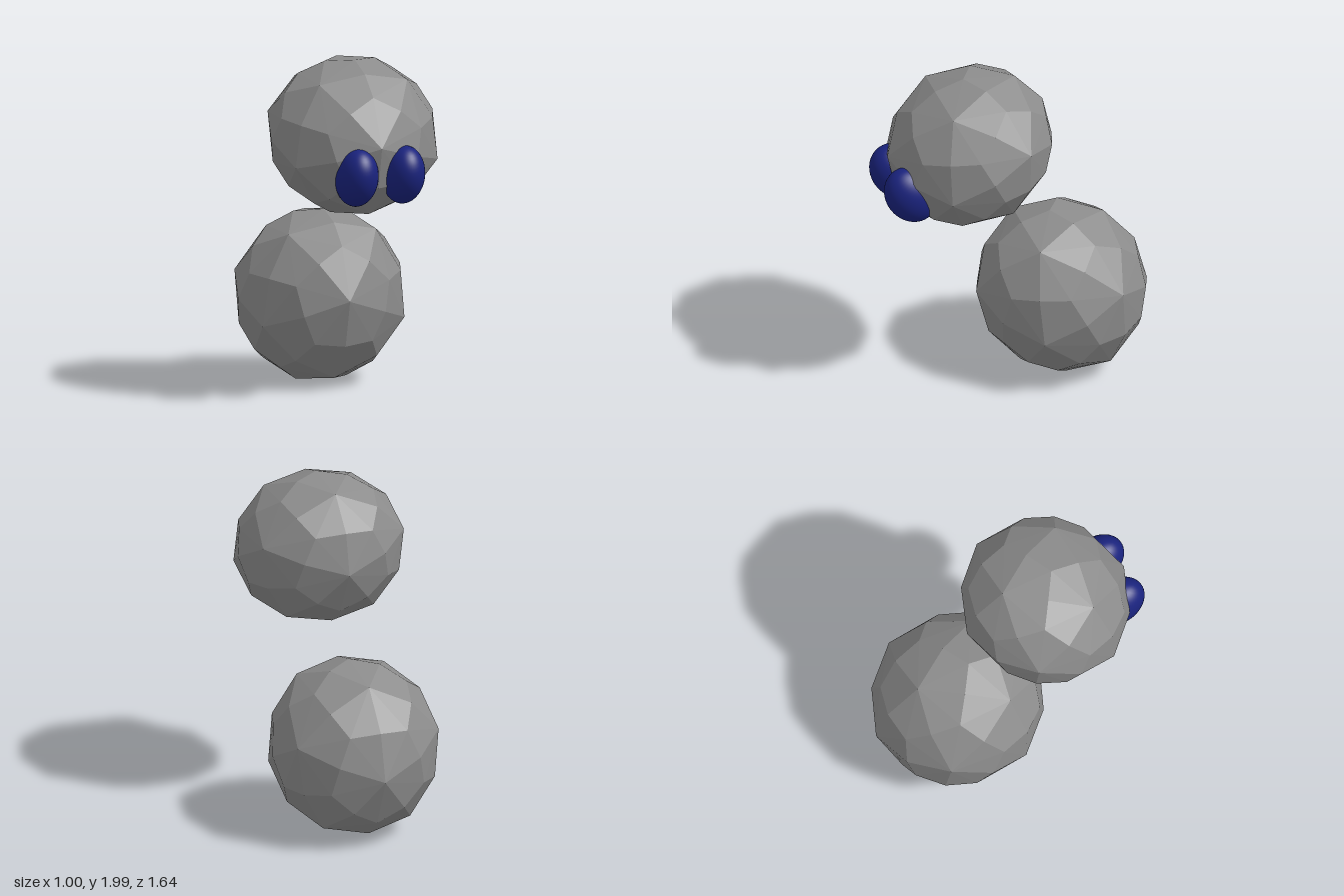
import * as THREE from 'three';
import { ConvexGeometry } from 'three/addons/geometries/ConvexGeometry.js';

const BALL_TILT = THREE.MathUtils.degToRad(28);
const EYE_TILT = THREE.MathUtils.degToRad(32);

// Faceted ball with 60 kite faces: icosahedron corners, edge middles and face centres
function kiteBallGeometry() {
  const phi = (1 + Math.sqrt(5)) / 2;
  const points = [];
  // All sign changes and cyclic shifts of (a, b, c), pushed out to a radius
  const addPoints = (a, b, c, radius) => {
    const signs = (v) => (v === 0 ? [0] : [v, -v]);
    for (const x of signs(a)) for (const y of signs(b)) for (const z of signs(c)) {
      for (const p of [[x, y, z], [y, z, x], [z, x, y]]) {
        points.push(new THREE.Vector3(...p).setLength(radius));
      }
    }
  };
  // Corners where five kites meet
  addPoints(0, 1, phi, 0.512);
  // Corners where three kites meet
  addPoints(0, phi * phi, 1, 0.496);
  for (const x of [1, -1]) for (const y of [1, -1]) for (const z of [1, -1]) {
    points.push(new THREE.Vector3(x, y, z).setLength(0.496));
  }
  // Corners where four kites meet
  addPoints(1, 0, 0, 0.5);
  addPoints(1, phi * phi, phi, 0.5);
  return new ConvexGeometry(points);
}

export function createModel() {
  const model = new THREE.Group();
  const grey = new THREE.MeshStandardMaterial({ color: 0x8c8c8c, flatShading: true });
  const blue = new THREE.MeshStandardMaterial({ color: 0x1a237e });

  const add = (name, geometry, material, position, scale, tilt) => {
    const mesh = new THREE.Mesh(geometry, material);
    mesh.name = name;
    mesh.position.set(...position);
    mesh.scale.set(...scale);
    mesh.rotation.x = tilt;
    model.add(mesh);
  };

  // Body and head share one faceted ball, stretched or flattened along its tilted axis
  const ball = kiteBallGeometry();
  add('body', ball, grey, [0, 0.52, -0.3], [1, 1.042, 1], BALL_TILT);
  add('head', ball, grey, [0, 1.555, 0.257], [1, 0.89, 1], BALL_TILT);

  // Smooth oval eyes, slightly off centre
  const eye = new THREE.SphereGeometry(1, 40, 24);
  for (const [name, x] of [['rightEye', -0.122], ['leftEye', 0.164]]) {
    add(name, eye, blue, [x, 1.386, 0.662], [0.122, 0.184, 0.148], EYE_TILT);
  }
  return model;
}
